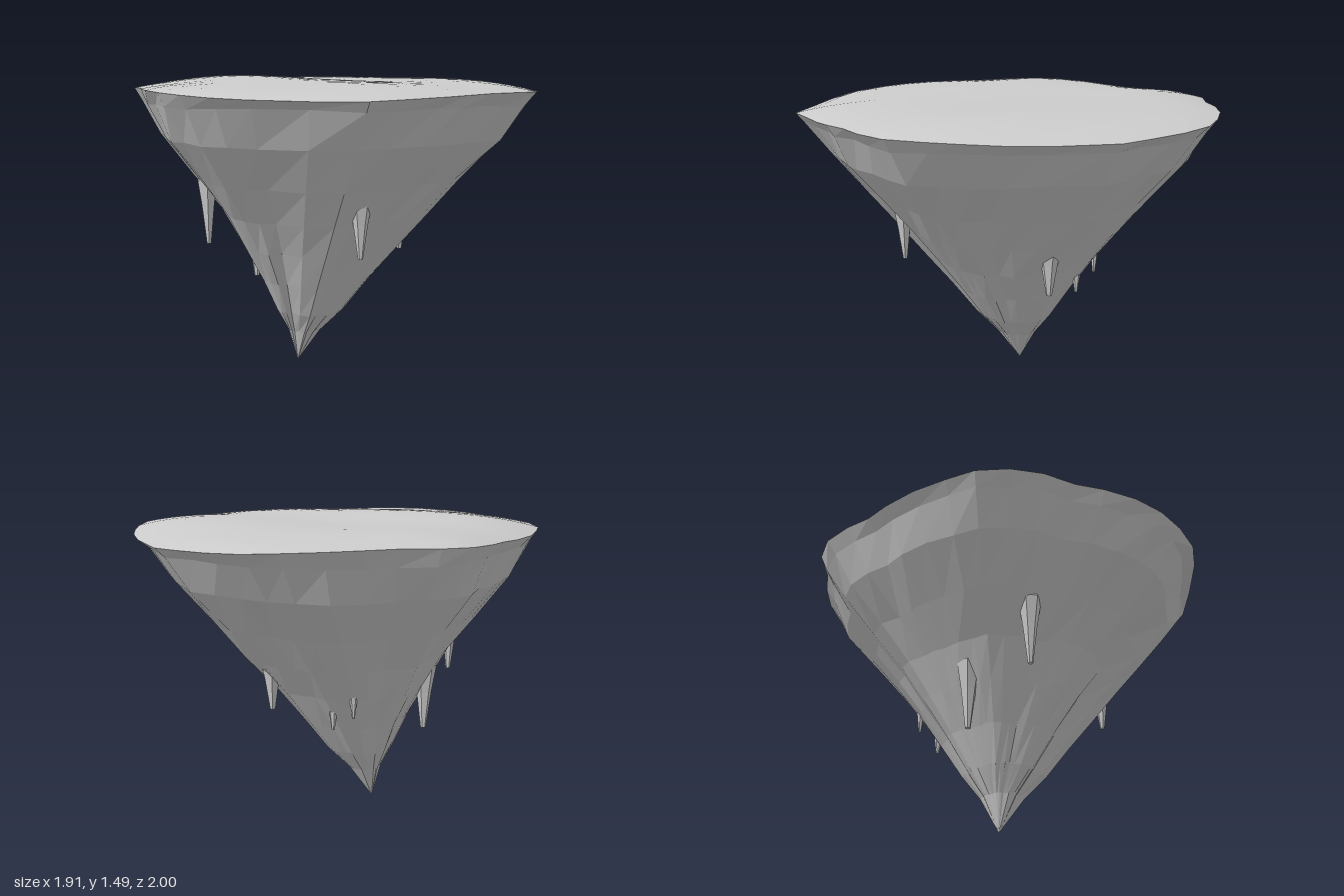
import * as THREE from 'three';

// Rim outline as x, z pairs, running clockwise seen from above
const RIM = [
  -0.2, -1, -0.03, -1, 0.13, -1, 0.4, -0.89, 0.56, -0.8, 0.69, -0.7, 0.8, -0.6, 0.91, -0.47,
  0.945, -0.31, 0.94, -0.16, 0.955, 0.0, 0.955, 0.1, 0.93, 0.3, 0.915, 0.48, 0.76, 0.65, 0.58, 0.83,
  0.45, 0.925, 0.29, 0.975, 0.13, 0.995, -0.03, 0.98, -0.19, 0.93, -0.32, 0.87, -0.48, 0.835,
  -0.62, 0.765, -0.735, 0.66, -0.8, 0.53, -0.865, 0.37, -0.9, 0.2, -0.91, 0.06, -0.945, -0.07,
  -0.96, -0.24, -0.91, -0.39, -0.8, -0.52, -0.73, -0.65, -0.63, -0.78, -0.5, -0.89, -0.37, -0.97,
];
const COUNT = RIM.length / 2;
const TIP = { x: -0.14, z: 0.12 };

// Cliff levels: height, spread on the far side, spread on the near side of the tip
const LEVELS = [
  [1.36, 0.955, 0.95], [1.2, 0.865, 0.85], [1.0, 0.705, 0.655], [0.82, 0.575, 0.485],
  [0.65, 0.45, 0.365], [0.47, 0.325, 0.24], [0.3, 0.21, 0.14], [0.18, 0.11, 0.06], [0, 0, 0],
];

// Gullies worn into the cliff: angle about the tip, width, depth
const GULLIES = [[0.85, 0.17, 0.18], [-0.82, 0.14, 0.08], [-1.65, 0.35, 0.09]];

// Hanging spikes: x, z, bottom, top, radius
const SPIKES = [
  [-0.31, 0.54, 0.65, 1.03, 0.055], [-0.4, 0.21, 0.42, 0.8, 0.06],
  [0.5, 0.2, 0.67, 0.98, 0.053], [0.05, -0.41, 0.57, 0.88, 0.064],
  [-0.22, -0.27, 0.49, 0.7, 0.036], [-0.34, -0.26, 0.57, 0.76, 0.03],
];

function seeded(seed) {
  return () => {
    seed = (seed * 16807) % 2147483647;
    return seed / 2147483647;
  };
}

// Skin a list of closed rings, each an array of [x, y, z]
function loft(rings) {
  const index = [];
  const n = rings[0].length;
  for (let r = 0; r < rings.length - 1; r++) {
    for (let i = 0; i < n; i++) {
      const j = (i + 1) % n;
      const a = r * n + i, b = r * n + j, c = a + n, d = b + n;
      index.push(a, d, c, a, b, d);
    }
  }
  const geometry = new THREE.BufferGeometry();
  geometry.setAttribute('position', new THREE.Float32BufferAttribute(rings.flat(2), 3));
  geometry.setIndex(index);
  return geometry;
}

function faceted(geometry) {
  const flat = geometry.toNonIndexed();
  flat.computeVertexNormals();
  return flat;
}

export function createModel() {
  const model = new THREE.Group();
  model.name = 'floatingIsland';
  const stone = new THREE.MeshStandardMaterial({ color: 0xcccccc });
  stone.name = 'greyStone';
  const random = seeded(4711);

  const add = (name, geometry) => {
    const mesh = new THREE.Mesh(geometry, stone);
    mesh.name = name;
    model.add(mesh);
    return mesh;
  };

  const rim = Array.from({ length: COUNT }, (_, i) => {
    const x = RIM[2 * i], z = RIM[2 * i + 1];
    const y = 1.418 - 0.01 * x + 0.012 * Math.sin(3 * Math.atan2(z, x) + 2.6);
    return [x, y, z];
  });

  // Gently rolling top
  const STEPS = 16;
  const topRings = [];
  for (let s = 0; s <= STEPS; s++) {
    const t = s / STEPS;
    const edge = Math.pow(t, 5);
    topRings.push(rim.map(([x, y, z]) => {
      const px = x * t, pz = z * t;
      const hill = 1.471 - 0.012 * px
        + 0.008 * Math.sin(3.6 * px + 2.6) * Math.cos(4.2 * pz - 1.6)
        + 0.006 * Math.cos(8 * pz - 2.4 + px);
      return [px, THREE.MathUtils.lerp(hill, y, edge), pz];
    }));
  }
  const top = loft(topRings);
  top.computeVertexNormals();
  add('islandTop', top);

  // Craggy cliff narrowing to an off-centre tip
  const ribs = rim.map(() => (random() - 0.5) * 0.11);
  const cliffRings = [rim];
  LEVELS.forEach(([height, far, near]) => {
    cliffRings.push(rim.map(([x, , z], i) => {
      const dx = x - TIP.x, dz = z - TIP.z;
      const angle = Math.atan2(dz, dx);
      const reach = THREE.MathUtils.clamp((Math.hypot(dx, dz) - 0.82) / 0.3, 0, 1);
      const worn = GULLIES.reduce((sum, [at, width, depth]) =>
        sum + depth * Math.exp(-Math.pow((angle - at) / width, 2)), 0);
      const rough = 1 + ribs[i] * (1 - far) + (random() - 0.5) * 0.025
        - worn * Math.pow(1 - far, 0.7);
      const spread = THREE.MathUtils.lerp(near, far, reach) * rough;
      const y = height > 0 ? height + (random() - 0.5) * 0.012 : 0;
      return [TIP.x + dx * spread, y, TIP.z + dz * spread];
    }));
  });
  add('rockCliff', faceted(loft(cliffRings)));

  // Hanging spikes
  SPIKES.forEach(([x, z, bottom, peak, radius], i) => {
    const h = peak - bottom;
    const profile = [[0, 0], [0.22, 0], [0.62, 0.5], [1, 0.86], [0.5, 0.97], [0, 1]]
      .map(([r, y]) => new THREE.Vector2(r * radius, y * h));
    const spike = add('hangingSpike' + (i + 1), faceted(new THREE.LatheGeometry(profile, 6)));
    spike.position.set(x, bottom, z);
    spike.rotation.y = i * 1.3;
  });

  return model;
}
